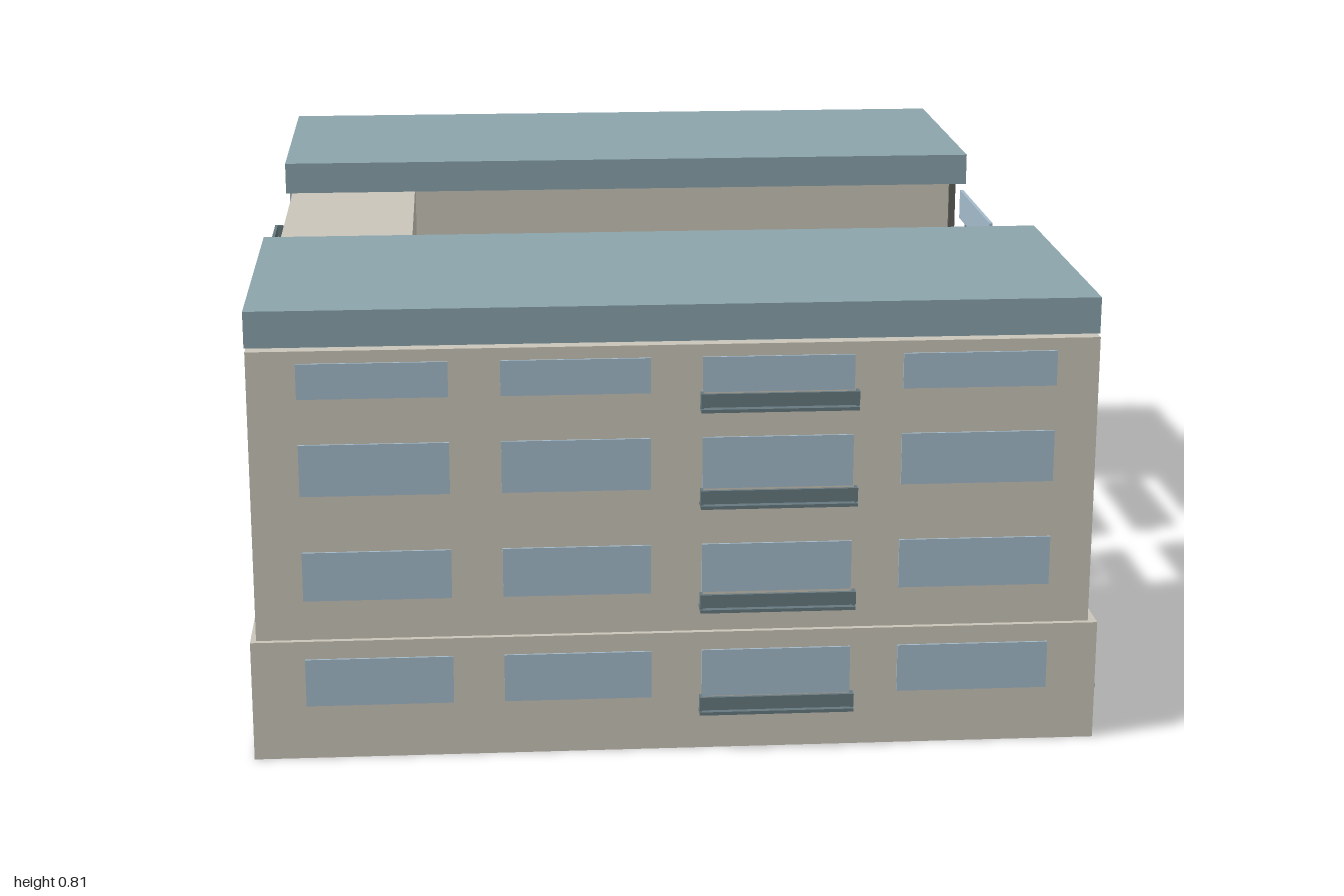
import * as THREE from 'three';

const mat = (name, color) => {
  const m = new THREE.MeshStandardMaterial({ color });
  m.name = name;
  return m;
};

export function createModel() {
  const wall = mat('beige wall', 0xcac5b9);
  const teal = mat('teal roof', 0x8aa4ab);
  const glass = mat('window blue', 0xa3bbcb);
  const rail = mat('balcony slate', 0x66797f);
  const trim = mat('dark trim', 0x5f5f5a);

  const model = new THREE.Group();
  model.name = 'apartmentBlock';

  // box given by its minimum and maximum corners
  function box(parent, name, m, [x0, y0, z0], [x1, y1, z1]) {
    const mesh = new THREE.Mesh(new THREE.BoxGeometry(x1 - x0, y1 - y0, z1 - z0), m);
    mesh.position.set((x0 + x1) / 2, (y0 + y1) / 2, (z0 + z1) / 2);
    mesh.name = name;
    parent.add(mesh);
    return mesh;
  }

  // ground storey, with an entrance recess on the +x side
  const base = new THREE.Group();
  base.name = 'groundStorey';
  model.add(base);
  box(base, 'baseMain', wall, [-0.765, 0, -0.975], [0.44, 0.22, 0.975]);
  box(base, 'baseLeftEnd', wall, [0.44, 0, 0.2], [0.74, 0.22, 0.975]);
  box(base, 'baseRightEnd', wall, [0.44, 0, -0.975], [0.74, 0.22, -0.2]);
  box(base, 'entranceFloor', wall, [0.44, 0, -0.2], [0.74, 0.03, 0.2]);
  box(base, 'entranceLintel', wall, [0.44, 0.205, -0.2], [0.74, 0.22, 0.2]);

  // two wings with overhanging roofs, joined by a block that closes the courtyard
  for (const s of [1, -1]) {
    const zBox = (name, m, x0, x1, y0, y1, z0, z1) =>
      box(model, name, m, [x0, y0, Math.min(s * z0, s * z1)], [x1, y1, Math.max(s * z0, s * z1)]);
    zBox('wing', wall, -0.755, 0.725, 0.22, 0.745, 0.485, 0.965);
    zBox('wingRoof', teal, -0.758, 0.73, 0.745, 0.81, 0.36, 0.94);
    zBox('cornerPost', trim, 0.715, 0.729, 0.22, 0.745, 0.478, 0.49);
    zBox('courtKerb', wall, 0.7, 0.73, 0.22, 0.242, 0.37, 0.48);
    // basement light shaft with its cover
    zBox('shaftCover', teal, 0.74, 0.762, 0.06, 0.067, 0.5, 0.89);
    zBox('shaftSill', teal, 0.74, 0.755, 0.028, 0.034, 0.56, 0.85);
    for (const z of [0.56, 0.844]) zBox('shaftSide', teal, 0.74, 0.755, 0.034, 0.06, z, z + 0.006);
  }
  box(model, 'linkBlock', wall, [-0.745, 0.22, -0.485], [-0.48, 0.743, 0.485]);

  // entrance canopy, doorstep and frame
  box(model, 'entranceCanopy', teal, [0.73, 0.206, -0.205], [0.785, 0.214, 0.205]);
  box(model, 'canopyLedge', rail, [0.735, 0.214, -0.09], [0.76, 0.221, 0.09]);
  box(model, 'doorstep', wall, [0.74, 0.026, -0.2], [0.782, 0.032, 0.2]);
  for (const z of [-0.203, 0.197]) box(model, 'entranceFrame', rail, [0.736, 0.03, z], [0.743, 0.206, z + 0.006]);

  // window rows as [bottom, top]; the lowest row is on the ground storey
  const rows = [[0.1, 0.187], [0.293, 0.382], [0.485, 0.578], [0.66, 0.723]];

  // a facade is a group whose local z points out of the wall
  function facade(name, angle) {
    const g = new THREE.Group();
    g.name = name;
    g.rotation.y = angle;
    model.add(g);
    return g;
  }

  // one column of windows, optionally with a balcony under each
  function column(g, u0, u1, upper, ground, firstRow, balcony, reach) {
    rows.forEach(([y0, y1], i) => {
      if (i < firstRow) return;
      const d = i === 0 ? ground : upper;
      box(g, 'window', glass, [u0, y0, d - 0.003], [u1, y1, d + 0.004]);
      if (!balcony) return;
      const b = new THREE.Group();
      b.name = 'balcony';
      g.add(b);
      const a = u0 - 0.005, c = u1 + 0.005, y = y0 - 0.025;
      box(b, 'balconyFloor', rail, [a, y - 0.004, d - 0.002], [c, y + 0.002, reach]);
      box(b, 'balconyFront', rail, [a, y + 0.006, reach - 0.006], [c, y + 0.03, reach]);
      for (const u of [a, c - 0.005])
        box(b, 'balconySide', rail, [u, y, reach - 0.018], [u + 0.005, y + 0.03, reach - 0.006]);
    });
  }

  // front and back
  const columns = [[-0.67, -0.41], [-0.32, -0.06], [0.03, 0.295], [0.38, 0.65]];
  for (const [name, angle, s] of [['frontFacade', 0, 1], ['backFacade', Math.PI, -1]]) {
    const g = facade(name, angle);
    columns.forEach(([a, b], i) =>
      column(g, Math.min(s * a, s * b), Math.max(s * a, s * b), 0.965, 0.975, 0, i === 2, 1.0));
  }

  // courtyard side: the middle windows stand free in the open gap
  const left = facade('courtyardFacade', Math.PI / 2);
  column(left, -0.86, -0.51, 0.725, 0.74, 0, false);
  column(left, 0.51, 0.86, 0.725, 0.74, 0, false);
  column(left, -0.4, -0.055, 0.728, 0.74, 1, false);
  column(left, 0.055, 0.4, 0.728, 0.74, 1, true, 0.757);

  // closed side
  const right = facade('closedFacade', -Math.PI / 2);
  column(right, -0.86, -0.51, 0.755, 0.765, 0, false);
  column(right, 0.51, 0.86, 0.755, 0.765, 0, false);
  column(right, 0.055, 0.4, 0.745, 0.765, 0, false);
  column(right, -0.4, -0.055, 0.745, 0.765, 0, true, 0.787);

  return model;
}
